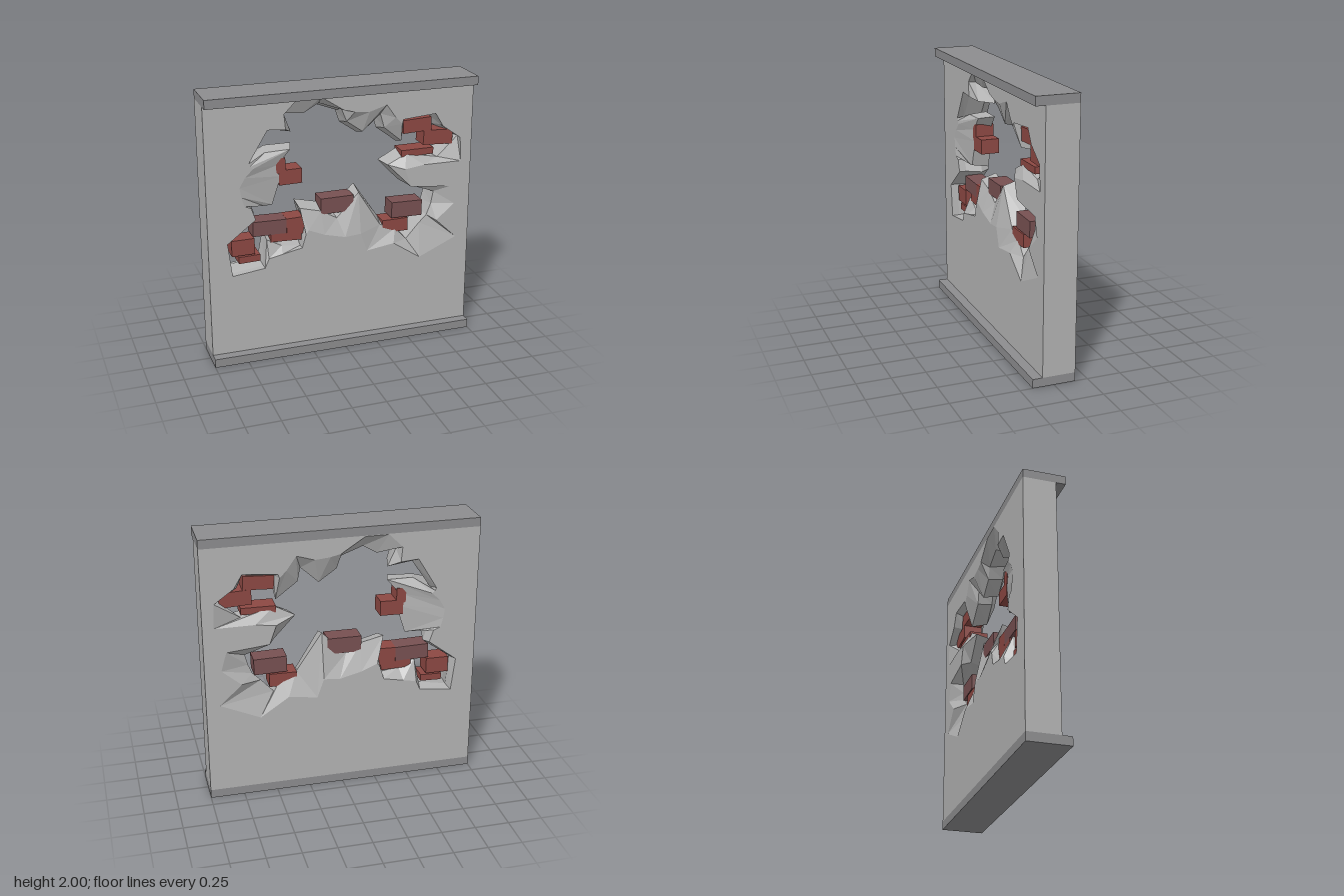
import * as THREE from 'three';

// Clockwise outline of the opening inside the wall (hundredths of a unit)
const opening = [
  [-66, 149], [-52, 170], [-34, 167], [-40, 180], [-26, 178], [-16, 184], [0, 178], [3, 169],
  [16, 160], [29, 172], [31, 162], [47, 150], [48, 168], [70, 170], [74, 161], [88, 153],
  [72, 139], [48, 145], [33, 137], [49, 120], [70, 110], [68, 102], [65, 95], [59, 89],
  [50, 79], [44, 89], [33, 93], [14, 121], [-4, 103], [-15, 110], [-32, 114], [-27, 103],
  [-30, 85], [-44, 87], [-56, 93], [-60, 73], [-81, 69], [-83, 92], [-62, 107], [-65, 116],
  [-54, 115], [-48, 115], [-41, 137], [-43, 146], [-34, 157], [-53, 157],
];
// Matching outline on the wall faces, where the plaster has chipped away
const chipped = [
  [-69, 150], [-55, 173], [-42, 172], [-43, 183], [-33, 193], [-16, 193], [1, 182], [9, 180],
  [20, 179], [33, 183], [40, 173], [45, 168], [46, 171], [71, 173], [77, 163], [91, 153],
  [92, 135], [63, 135], [48, 133], [53, 119], [84, 116], [88, 102], [74, 90], [90, 75],
  [61, 62], [40, 76], [19, 73], [14, 87], [2, 86], [-14, 90], [-26, 95], [-28, 92],
  [-31, 82], [-46, 79], [-56, 77], [-59, 70], [-83, 67], [-86, 92], [-65, 108], [-68, 117],
  [-73, 119], [-75, 126], [-76, 133], [-72, 140], [-66, 146], [-68, 148],
];
const FRONT = 0.085, BACK = -0.157, TRIM = 0.065;

const material = (name, color, side = THREE.FrontSide) => {
  const m = new THREE.MeshStandardMaterial({ color, side });
  m.name = name;
  return m;
};

function wallGeometry() {
  const toPoints = list => list.map(([x, y]) => new THREE.Vector2(x / 100, y / 100));
  const inner = toPoints(opening), outer = toPoints(chipped);
  const middle = inner.map((p, i) =>
    p.clone().add(outer[i].clone().sub(p).clampLength(0, 0.035)));
  const frame = [[-1, TRIM], [1, TRIM], [1, 2 - TRIM], [-1, 2 - TRIM]]
    .map(([x, y]) => new THREE.Vector2(x, y));
  const positions = [];
  const put = (p, z) => positions.push(p.x, p.y, z);

  // Strip between two outlines at different depths
  const strip = (near, zNear, far, zFar) => near.forEach((a, i) => {
    const j = (i + 1) % near.length;
    put(a, zNear); put(far[i], zFar); put(near[j], zNear);
    put(near[j], zNear); put(far[i], zFar); put(far[j], zFar);
  });
  strip(frame, FRONT, frame, BACK);
  strip(outer, FRONT, middle, 0.03);
  strip(middle, 0.03, inner, -0.09);
  strip(inner, -0.09, outer, BACK);

  // Pierced front and back faces
  const all = [...frame, ...outer];
  for (const [a, b, c] of THREE.ShapeUtils.triangulateShape(frame, [outer])) {
    for (const k of [a, b, c]) put(all[k], FRONT);
    for (const k of [a, c, b]) put(all[k], BACK);
  }
  const geometry = new THREE.BufferGeometry();
  geometry.setAttribute('position', new THREE.Float32BufferAttribute(positions, 3));
  geometry.computeVertexNormals();
  return geometry;
}

export function createModel() {
  const group = new THREE.Group();
  const plaster = material('plaster grey', 0xb2b2b2, THREE.DoubleSide);
  const trimGrey = material('trim grey', 0x8c8c8e);
  const red = material('brick red', 0x8c4843);
  const dull = material('dull brick', 0x775051);

  const add = (name, geometry, mat, x = 0, y = 0, z = 0) => {
    const mesh = new THREE.Mesh(geometry, mat);
    mesh.name = name;
    mesh.position.set(x, y, z);
    group.add(mesh);
    return mesh;
  };

  add('brokenWall', wallGeometry(), plaster);

  // Skirting and cornice, flush at the back and proud at the front
  add('bottomTrim', new THREE.BoxGeometry(2, TRIM, 0.314), trimGrey, 0, TRIM / 2);
  add('topTrim', new THREE.BoxGeometry(2, TRIM, 0.314), trimGrey, 0, 2 - TRIM / 2);

  // Exposed bricks: left, right, bottom, top, tilt, material
  const bricks = [
    [-0.82, -0.65, 0.80, 0.92, 0.01, red],
    [-0.66, -0.41, 0.93, 1.04, -0.02, dull],
    [-0.41, -0.28, 0.91, 1.04, 0.02, red],
    [-0.77, -0.61, 0.74, 0.79, 0.03, red],
    [-0.53, -0.30, 0.87, 0.93, -0.03, red],
    [-0.46, -0.29, 1.30, 1.41, 0.02, red],
    [-0.48, -0.41, 1.39, 1.50, 0.04, red],
    [-0.15, 0.10, 1.04, 1.16, 0.01, dull],
    [0.40, 0.64, 0.94, 1.06, -0.02, dull],
    [0.33, 0.53, 0.83, 0.93, 0.01, red],
    [0.48, 0.70, 1.59, 1.69, 0.05, red],
    [0.64, 0.87, 1.48, 1.59, -0.05, red],
    [0.47, 0.72, 1.41, 1.46, 0.01, red],
  ];
  for (const [x0, x1, y0, y1, tilt, mat] of bricks) {
    const box = new THREE.BoxGeometry(x1 - x0, y1 - y0, 0.14);
    add('brick', box, mat, (x0 + x1) / 2, (y0 + y1) / 2, -0.035).rotation.z = tilt;
  }
  return group;
}
